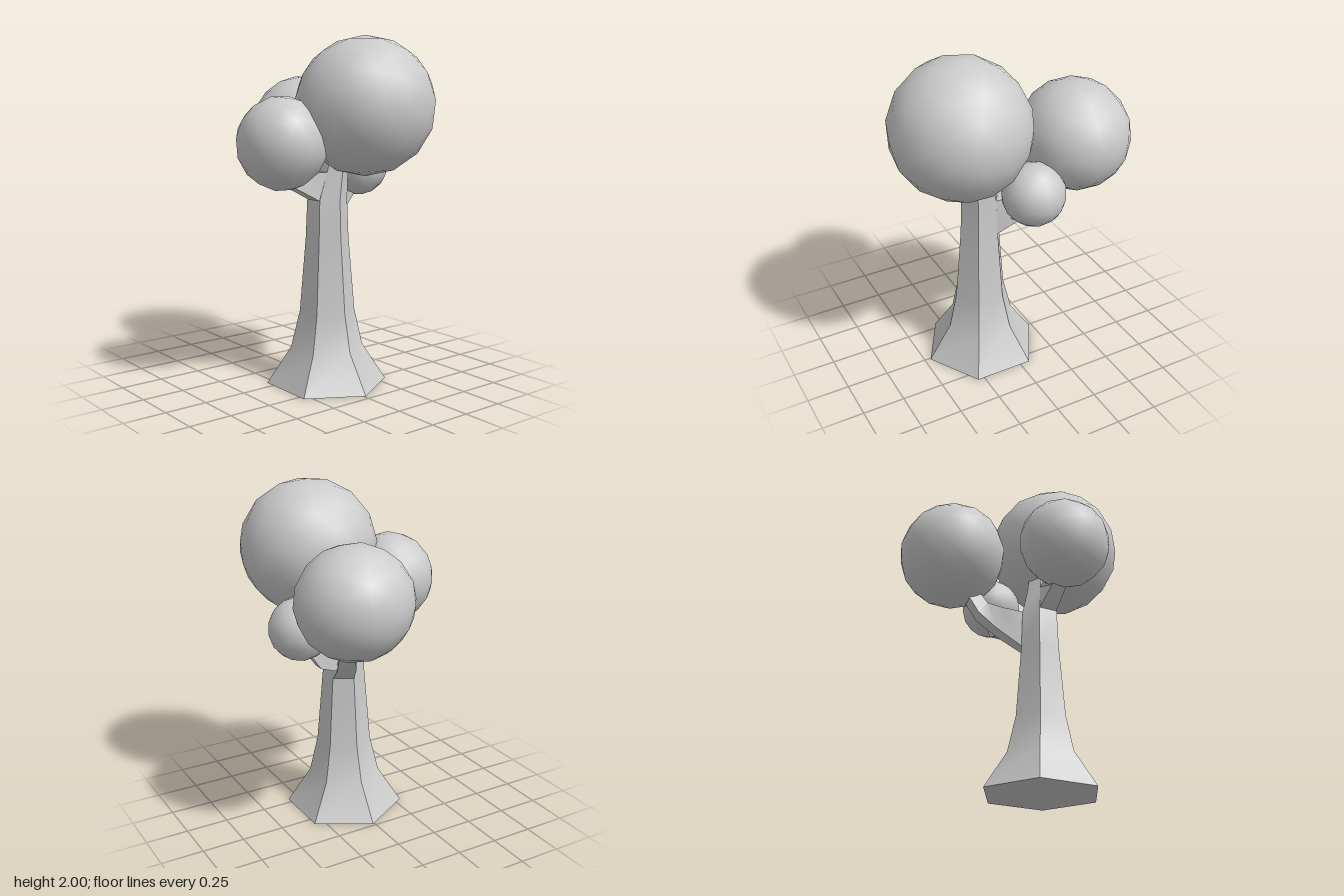
import * as THREE from 'three';
import { toCreasedNormals } from 'three/addons/utils/BufferGeometryUtils.js';

const material = new THREE.MeshStandardMaterial({ color: 0xcccccc });

// Skin a row of cross-sections (counter-clockwise seen from the tip) and close both ends
function loft(rings) {
  const n = rings[0].length;
  const positions = rings.flat(2);
  const index = [];
  for (let r = 0; r < rings.length - 1; r++) {
    for (let i = 0; i < n; i++) {
      const a = r * n + i, b = r * n + (i + 1) % n;
      index.push(a, b, b + n, a, b + n, a + n);
    }
  }
  const last = (rings.length - 1) * n;
  for (let i = 1; i < n - 1; i++) {
    index.push(0, i + 1, i, last, last + i, last + i + 1);
  }
  const geometry = new THREE.BufferGeometry();
  geometry.setAttribute('position', new THREE.Float32BufferAttribute(positions, 3));
  geometry.setIndex(index);
  return toCreasedNormals(geometry, 0.6);
}

function hexagon([y, radius, x, z]) {
  return Array.from({ length: 6 }, (_, i) => {
    const a = i * Math.PI / 3;
    return [x + radius * Math.sin(a), y, z + radius * Math.cos(a)];
  });
}

export function createModel() {
  const tree = new THREE.Group();
  tree.name = 'tree';
  const add = (name, geometry) => {
    const mesh = new THREE.Mesh(geometry, material);
    mesh.name = name;
    tree.add(mesh);
    return mesh;
  };

  // Six-sided trunk with a flared foot: height, radius, centre x, centre z
  add('trunk', loft([
    [0, 0.35, 0.01, 0.115],
    [0.215, 0.21, 0.01, 0.115],
    [0.43, 0.16, 0.01, 0.118],
    [0.86, 0.124, 0.01, 0.116],
    [1.08, 0.115, 0.01, 0.116],
    [1.24, 0.088, 0.035, 0.135],
    [1.42, 0.08, 0.06, 0.16],
  ].map(hexagon)));

  // Rear branch, bending up into the rear crown
  add('rearBranch', loft([
    [[0.116, 0.86, 0.055], [0.01, 0.86, -0.008], [0.01, 1.08, 0], [0.11, 1.08, 0.058]],
    [[0.17, 0.96, -0.09], [0.07, 0.97, -0.14], [0.05, 1.1, -0.1], [0.14, 1.1, -0.06]],
    [[0.22, 1.06, -0.2], [0.13, 1.08, -0.23], [0.13, 1.15, -0.17], [0.19, 1.15, -0.14]],
    [[0.25, 1.25, -0.32], [0.16, 1.25, -0.33], [0.16, 1.28, -0.26], [0.24, 1.28, -0.25]],
  ]));

  // Side fork growing out of the rear branch
  add('forkBranch', loft([
    [[0.12, 0.95, -0.02], [0.15, 0.96, -0.09], [0.13, 1.09, -0.08], [0.11, 1.09, 0]],
    [[0.27, 1.0, -0.02], [0.27, 1.0, -0.09], [0.22, 1.09, -0.09], [0.22, 1.09, -0.02]],
    [[0.36, 1.14, 0], [0.36, 1.14, -0.06], [0.31, 1.18, -0.06], [0.31, 1.18, 0]],
  ]));

  // Short branch on the model's right
  add('rightBranch', loft([
    [[-0.09, 1.08, 0.06], [-0.09, 1.08, 0.17], [-0.04, 1.24, 0.18], [-0.04, 1.24, 0.09]],
    [[-0.24, 1.16, 0.06], [-0.24, 1.16, 0.15], [-0.13, 1.24, 0.15], [-0.13, 1.24, 0.06]],
    [[-0.32, 1.3, 0.08], [-0.32, 1.3, 0.14], [-0.25, 1.34, 0.14], [-0.25, 1.34, 0.08]],
  ]));

  // Rounded leaf crowns: name, centre, radii, turn
  const crowns = [
    ['mainCrown', [0.14, 1.61, 0.29], [0.4, 0.392, 0.392], 0.3],
    ['rearCrown', [0.217, 1.457, -0.372], [0.33, 0.317, 0.312], 1.1],
    ['rightCrown', [-0.305, 1.41, 0.11], [0.248, 0.262, 0.266], 0.7],
    ['smallCrown', [0.368, 1.24, -0.032], [0.178, 0.18, 0.178], 1.9],
  ];
  for (const [name, centre, radii, turn] of crowns) {
    const ball = new THREE.IcosahedronGeometry(1, 2);
    ball.rotateY(turn);
    ball.rotateZ(turn / 2);
    ball.scale(...radii);
    add(name, ball).position.set(...centre);
  }
  return tree;
}
